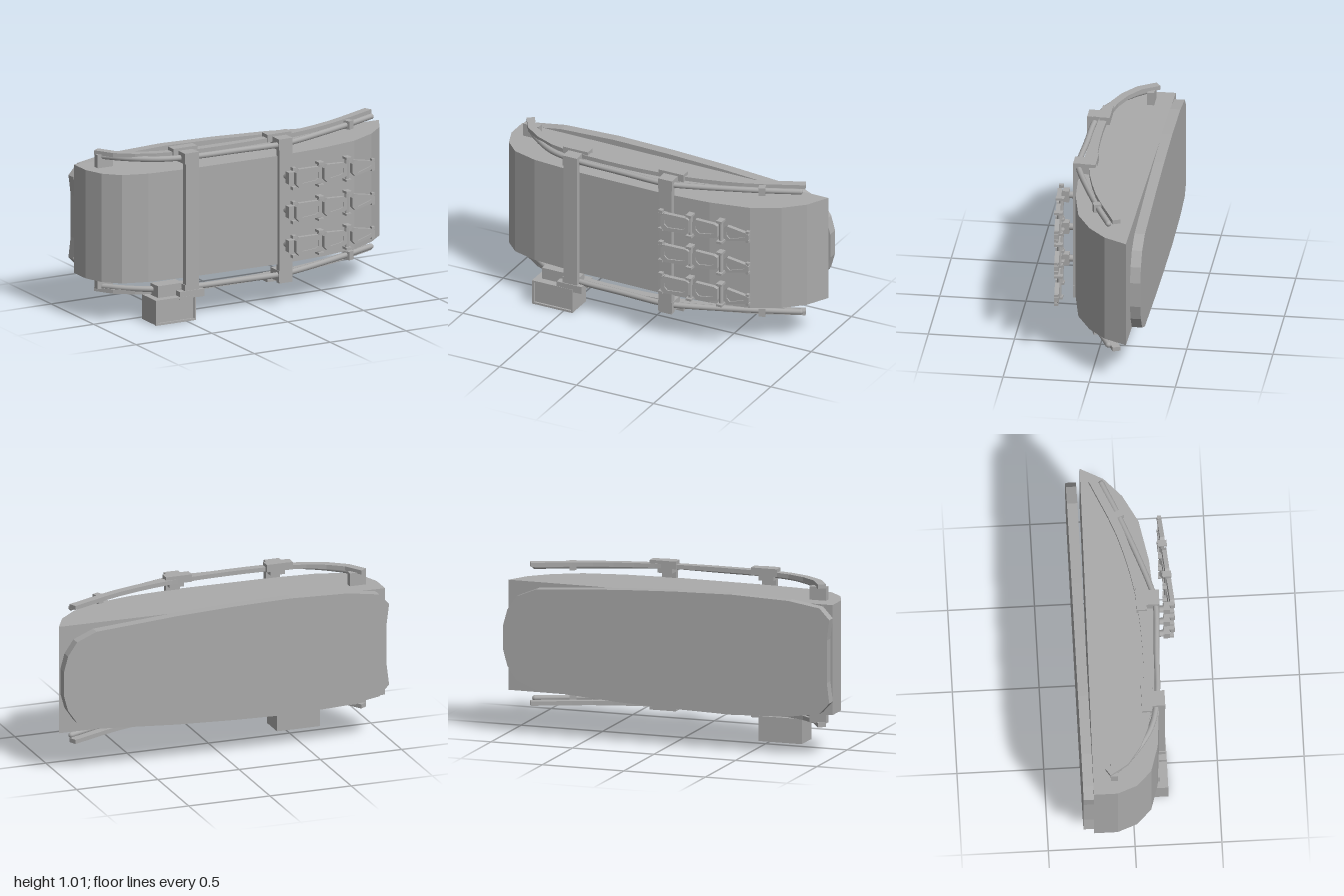
import * as THREE from 'three';

const grey = new THREE.MeshStandardMaterial({ color: 0xaaaaaa });
grey.name = 'grey';

function add(parent, name, geometry) {
  const mesh = new THREE.Mesh(geometry, grey);
  mesh.name = name;
  parent.add(mesh);
  return mesh;
}

// Box given by its limits on each axis
function box(parent, name, x0, x1, y0, y1, z0, z1) {
  const mesh = add(parent, name, new THREE.BoxGeometry(x1 - x0, y1 - y0, z1 - z0));
  mesh.position.set((x0 + x1) / 2, (y0 + y1) / 2, (z0 + z1) / 2);
  return mesh;
}

const shapeOf = (pts) => new THREE.Shape(pts.map(([x, y]) => new THREE.Vector2(x, y)));
const extrude = (shape, depth) => new THREE.ExtrudeGeometry(shape, { depth, bevelEnabled: false });

// Upright prism over an outline of [x, z] points
function prism(parent, name, pts, y0, y1) {
  const geo = extrude(shapeOf(pts.map(([x, z]) => [x, -z])), y1 - y0);
  geo.rotateX(-Math.PI / 2);
  geo.translate(0, y0, 0);
  return add(parent, name, geo);
}

function cylinder(parent, name, r, h, x, y, z, sides = 10) {
  const mesh = add(parent, name, new THREE.CylinderGeometry(r, r, h, sides));
  mesh.position.set(x, y, z);
  return mesh;
}

// Flat curved bar, round rail and fittings for one edge (s = 1 top, -1 bottom)
function edgeRail(s) {
  const rail = new THREE.Group();
  rail.name = s > 0 ? 'upperRail' : 'lowerRail';
  const mid = 0.575;
  const at = (d) => mid + s * d;
  const span = (d0, d1) => [Math.min(at(d0), at(d1)), Math.max(at(d0), at(d1))];

  // Curved bar
  const path = new THREE.CatmullRomCurve3([
    [-0.9, -0.15], [-0.82, -0.03], [-0.62, 0.075], [-0.42, 0.105],
    [-0.1, 0.11], [0.2, 0.085], [0.55, 0.0], [0.89, -0.145],
  ].map(([x, z]) => new THREE.Vector3(x, 0, z)));
  const outer = [], inner = [];
  for (let i = 0; i <= 16; i++) {
    const p = path.getPointAt(i / 16), t = path.getTangentAt(i / 16);
    outer.push([p.x - t.z * 0.024, p.z + t.x * 0.024]);
    inner.unshift([p.x + t.z * 0.024, p.z - t.x * 0.024]);
  }
  prism(rail, 'curvedBar', [...outer, ...inner], ...span(0.395, 0.42));

  // Round rail with solid ends
  const y = at(0.388);
  const pts = [
    [-0.88, -0.1], [-0.8, -0.01], [-0.63, 0.11], [-0.45, 0.155],
    [-0.15, 0.168], [0.12, 0.178], [0.2, 0.165], [0.66, 0.0], [0.88, -0.095],
  ].map(([x, z]) => new THREE.Vector3(x, y, z));
  const curve = new THREE.CatmullRomCurve3(pts, false, 'centripetal');
  add(rail, 'roundRail', new THREE.TubeGeometry(curve, 40, 0.017, 10));
  for (const p of [pts[0], pts[8]]) {
    const end = add(rail, 'railEnd', new THREE.SphereGeometry(0.017, 10, 6));
    end.position.copy(p);
  }

  // Clip, strap brackets and rear peg
  const clip = box(rail, 'railClip', 0.66, 0.7, ...span(0.365, 0.415), -0.03, 0.02);
  clip.rotation.y = 0.39;
  for (const x of [-0.465, 0.155]) {
    box(rail, 'strapBracket', x - 0.08, x + 0.08, ...span(0.395, 0.44), 0.065, 0.125);
    box(rail, 'strapEnd', x - 0.045, x + 0.045, ...span(0.36, 0.425), 0.1, 0.2);
  }
  box(rail, 'rearPeg', -0.92, -0.82, ...span(0.315, 0.4), -0.135, -0.095);
  return rail;
}

// Plate of a jointed finger: tapered, with a raised rim round a sunk panel
function fingerSegment(parent, length, h0, h1, x, z) {
  const segment = new THREE.Group();
  segment.name = 'fingerSegment';
  const outline = (g) => {
    const l = length / 2 - g, c = 0.02;
    return [[-l, h0 - g - c], [-l + c, h0 - g], [l - c, h1 - g], [l, h1 - g - c / 2],
      [l, -h1 + g + c / 2], [l - c, -h1 + g], [-l + c, -h0 + g], [-l, -h0 + g + c]].reverse();
  };
  add(segment, 'segmentPlate', extrude(shapeOf(outline(0)), 0.018));
  const rim = shapeOf(outline(0));
  rim.holes.push(new THREE.Path(shapeOf(outline(Math.min(0.022, h1 * 0.7))).getPoints().reverse()));
  add(segment, 'segmentRim', extrude(rim, 0.008)).position.z = 0.018;
  segment.position.set(x, 0, z);
  segment.rotation.y = 0.09;
  parent.add(segment);
}

function finger(y) {
  const group = new THREE.Group();
  group.name = 'finger';
  group.position.y = y;
  // Mounting post and knuckle
  const post = cylinder(group, 'mountPost', 0.02, 0.07, 0.16, 0, 0.215);
  post.rotation.x = Math.PI / 2;
  box(group, 'knuckle', 0.14, 0.19, -0.035, 0.035, 0.225, 0.262);
  // Jointed plates
  fingerSegment(group, 0.175, 0.055, 0.05, 0.26, 0.258);
  fingerSegment(group, 0.155, 0.053, 0.045, 0.445, 0.24);
  fingerSegment(group, 0.155, 0.048, 0.025, 0.64, 0.222);
  // Hinges
  for (const [x, z] of [[0.348, 0.25], [0.538, 0.234]]) {
    cylinder(group, 'hingePin', 0.013, 0.135, x, 0, z);
    for (const s of [-1, 1]) {
      box(group, 'hingeCap', x - 0.018, x + 0.018, s * 0.066 - 0.007, s * 0.066 + 0.007, z - 0.02, z + 0.03);
    }
  }
  // Corner studs on the first and last plates
  for (const s of [-1, 1]) {
    box(group, 'innerStud', 0.155, 0.18, s * 0.058 - 0.009, s * 0.058 + 0.009, 0.258, 0.285);
    box(group, 'outerStud', 0.7, 0.72, s * 0.028 - 0.008, s * 0.028 + 0.008, 0.218, 0.24);
  }
  return group;
}

export function createModel() {
  const model = new THREE.Group();
  model.name = 'armShield';

  // Faceted curved body
  prism(model, 'body', [
    [-0.998, -0.237], [-0.998, -0.1], [-0.955, 0.015], [-0.87, 0.1], [-0.72, 0.145], [-0.45, 0.168],
    [0.12, 0.177], [0.42, 0.155], [0.66, 0.108], [0.82, 0.022], [0.93, -0.08], [1, -0.213],
  ], 0.25, 0.897);

  // Back plate
  const back = add(model, 'backPlate', extrude(shapeOf([
    [1, 0.65], [0.975, 0.74], [0.92, 0.82], [0.8, 0.87], [0.3, 0.905], [-0.05, 0.92], [-0.4, 0.927],
    [-0.75, 0.915], [-0.94, 0.885], [-1, 0.82], [-0.985, 0.7], [-0.985, 0.45], [-1, 0.33],
    [-0.94, 0.265], [-0.75, 0.235], [-0.4, 0.221], [-0.05, 0.23], [0.3, 0.245], [0.8, 0.28],
    [0.92, 0.33], [0.975, 0.41], [1, 0.5],
  ]), 0.06));
  back.position.z = -0.297;

  // Edge rails
  model.add(edgeRail(1), edgeRail(-1));

  // Vertical straps
  for (const x of [-0.46, 0.155]) {
    box(model, 'strap', x - 0.043, x + 0.043, 0.14, 1.0, 0.165, 0.2);
  }

  // Box under the lower rail
  box(model, 'lowerBox', -0.705, -0.44, 0.003, 0.15, 0.045, 0.195);
  box(model, 'boxMount', -0.665, -0.5, 0.145, 0.22, 0.07, 0.16);
  const frame = shapeOf([[-0.705, 0], [-0.44, 0], [-0.44, 0.15], [-0.705, 0.15]]);
  frame.holes.push(new THREE.Path(shapeOf([[-0.69, 0.012], [-0.69, 0.14], [-0.452, 0.14], [-0.452, 0.012]]).getPoints()));
  add(model, 'boxFrame', extrude(frame, 0.012)).position.z = 0.195;
  box(model, 'boxLink', -0.545, -0.385, 0.135, 0.18, 0.15, 0.205);

  // Three jointed fingers
  for (const y of [0.778, 0.575, 0.372]) model.add(finger(y));

  return model;
}
